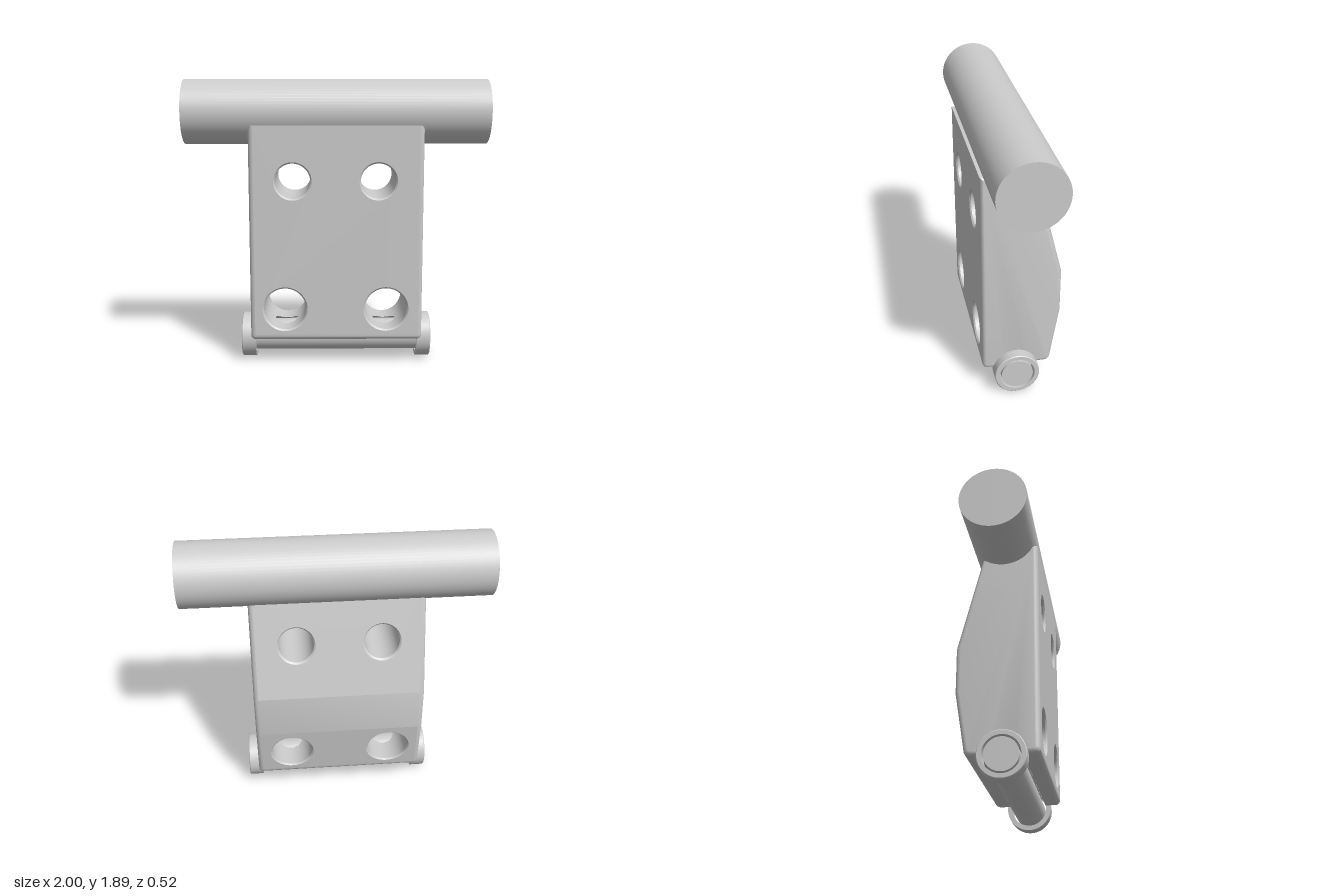
import * as THREE from 'three';
import { toCreasedNormals } from 'three/addons/utils/BufferGeometryUtils.js';

const mat = new THREE.MeshStandardMaterial({ color: 0xcccccc });
const matDouble = new THREE.MeshStandardMaterial({ color: 0xcccccc, side: THREE.DoubleSide });

const HALF = 0.57, BEVEL = 0.03, FRONT = 0.26, TOP = 1.6, BOTTOM = 0.17, CORNER = 0.04;
const AXIS_Z = 0.04, PIN_Y = 0.15, BORE = 0.118, CHAMFER = 0.01;
const upper = [{ x: -0.285, y: 1.24, r: 0.115 }, { x: 0.275, y: 1.24, r: 0.115 }];
const lower = [{ x: -0.34, y: 0.385, r: 0.14 }, { x: 0.33, y: 0.385, r: 0.14 }];

// depth of the back face at a height
function backZ(y) {
  if (y > 0.88) return -0.26 + 0.25 * (y - 0.88);
  if (y < 0.58) return -0.26 + 0.158 * (0.58 - y);
  return -0.26;
}

function add(group, name, geometry, material = mat) {
  const mesh = new THREE.Mesh(geometry, material);
  mesh.name = name;
  group.add(mesh);
  return mesh;
}

// keep only the triangles that pass a test
function keepTriangles(geometry, test) {
  const pos = (geometry.index ? geometry.toNonIndexed() : geometry).attributes.position;
  const out = [], tri = new THREE.Triangle(), mid = new THREE.Vector3(), n = new THREE.Vector3();
  for (let i = 0; i < pos.count; i += 3) {
    tri.setFromAttributeAndIndices(pos, i, i + 1, i + 2);
    tri.getMidpoint(mid);
    tri.getNormal(n);
    if (test(mid, n, tri)) for (const p of [tri.a, tri.b, tri.c]) out.push(p.x, p.y, p.z);
  }
  const g = new THREE.BufferGeometry();
  g.setAttribute('position', new THREE.Float32BufferAttribute(out, 3));
  return toCreasedNormals(g, 0.6);
}

const inBore = (p, r) => Math.hypot(p.y - PIN_Y, p.z - AXIS_Z) < r;

// beveled shell from the side profile, left open where the drilled panels go
function shellGeometry() {
  const a = Math.asin((BOTTOM - PIN_Y) / BORE);
  const back = -backZ(BOTTOM);
  const s = new THREE.Shape();
  s.moveTo(-FRONT, TOP);
  s.lineTo(-FRONT, BOTTOM + CORNER);
  s.quadraticCurveTo(-FRONT, BOTTOM, -FRONT + CORNER, BOTTOM);
  s.absarc(-AXIS_Z, PIN_Y, BORE, Math.PI - a, a, true);
  s.lineTo(back - CORNER, BOTTOM);
  s.quadraticCurveTo(back, BOTTOM, -backZ(BOTTOM + CORNER), BOTTOM + CORNER);
  s.lineTo(0.26, 0.58);
  s.lineTo(0.26, 0.88);
  s.lineTo(-backZ(TOP), TOP);
  const g = new THREE.ExtrudeGeometry(s, {
    depth: 2 * (HALF - BEVEL), bevelEnabled: true, bevelSize: BEVEL, bevelThickness: BEVEL,
    bevelOffset: -BEVEL, bevelSegments: 4, curveSegments: 16,
  });
  g.translate(0, 0, BEVEL - HALF).rotateY(Math.PI / 2);
  return keepTriangles(g, (mid, n, t) => {
    if (Math.abs(n.x) > 0.01) return true;
    const ys = [t.a.y, t.b.y, t.c.y];
    return Math.max(...ys) - Math.min(...ys) < 0.33 && !inBore(mid, BORE + 0.001);
  });
}

// flat panel with round openings, laid onto the depth rule
function panelGeometry(y0, y1, holes, depthAt) {
  const w = HALF - BEVEL;
  const s = new THREE.Shape([[-w, y0], [w, y0], [w, y1], [-w, y1]].map(p => new THREE.Vector2(...p)));
  for (const h of holes) s.holes.push(new THREE.Path().absarc(h.x, h.y, h.r + CHAMFER, 0, Math.PI * 2, true));
  const g = new THREE.ShapeGeometry(s, 32);
  const p = g.attributes.position;
  for (let i = 0; i < p.count; i++) p.setZ(i, depthAt(p.getY(i)));
  g.computeVertexNormals();
  return g;
}

// hole wall with chamfered rims, cut away where it meets the pin bore
function holeGeometry(h) {
  const rows = 60;
  const g = new THREE.PlaneGeometry(1, 1, 64, rows);
  const p = g.attributes.position;
  for (let i = 0; i < p.count; i++) {
    const ang = (p.getX(i) + 0.5) * Math.PI * 2;
    const row = Math.round((p.getY(i) + 0.5) * rows);
    const rim = row === 0 || row === rows;
    const r = h.r + (rim ? CHAMFER : 0);
    const y = h.y + r * Math.sin(ang);
    const zb = backZ(y), t = (row - 1) / (rows - 2);
    const z = row === 0 ? zb : row === rows ? FRONT
      : THREE.MathUtils.lerp(zb + CHAMFER, FRONT - CHAMFER, t);
    p.setXYZ(i, h.x + r * Math.cos(ang), y, z);
  }
  return keepTriangles(g, mid => !inBore(mid, BORE));
}

// bore for the pin, cut away where the lower holes cross it
function boreGeometry() {
  const g = new THREE.CylinderGeometry(BORE, BORE, 2 * (HALF - BEVEL), 72, 120, true);
  g.rotateZ(Math.PI / 2).translate(0, PIN_Y, AXIS_Z);
  return keepTriangles(g, mid => mid.y > BOTTOM - 0.004
    && !lower.some(h => Math.hypot(mid.x - h.x, mid.y - h.y) < h.r));
}

function rodGeometry(r, length) {
  return new THREE.CylinderGeometry(r, r, length, 64).rotateZ(Math.PI / 2);
}

export function createModel() {
  const model = new THREE.Group();
  model.name = 'bracket';

  // top rod
  add(model, 'topRod', rodGeometry(0.213, 2)).position.set(0, 1.68, AXIS_Z);

  // drilled block
  const block = new THREE.Group();
  block.name = 'block';
  model.add(block);
  const low = BOTTOM + CORNER;
  add(block, 'blockShell', shellGeometry(), matDouble);
  add(block, 'frontPanel', panelGeometry(low, TOP, [...upper, ...lower], () => FRONT), matDouble);
  add(block, 'upperBackPanel', panelGeometry(0.88, TOP, upper, backZ), matDouble);
  add(block, 'lowerBackPanel', panelGeometry(low, 0.58, lower, backZ), matDouble);
  for (const h of upper) add(block, 'upperHole', holeGeometry(h), matDouble);
  for (const h of lower) add(block, 'lowerHole', holeGeometry(h), matDouble);
  add(block, 'pinBore', boreGeometry(), matDouble);

  // pin with a loose collar at each end
  const pin = new THREE.Group();
  pin.name = 'pin';
  pin.position.set(0, PIN_Y, AXIS_Z);
  model.add(pin);
  add(pin, 'pinShaft', rodGeometry(0.106, 1.276));
  const collar = [[BORE, 0], [0.15, 0], [0.15, 0.09], [0.145, 0.095], [BORE, 0.095], [BORE, 0]]
    .map(p => new THREE.Vector2(...p));
  for (const side of [-1, 1]) {
    const g = toCreasedNormals(new THREE.LatheGeometry(collar, 64), 0.5);
    g.rotateZ(-side * Math.PI / 2).translate(side * 0.545, 0, 0);
    add(pin, side > 0 ? 'leftCollar' : 'rightCollar', g, matDouble);
  }
  return model;
}
